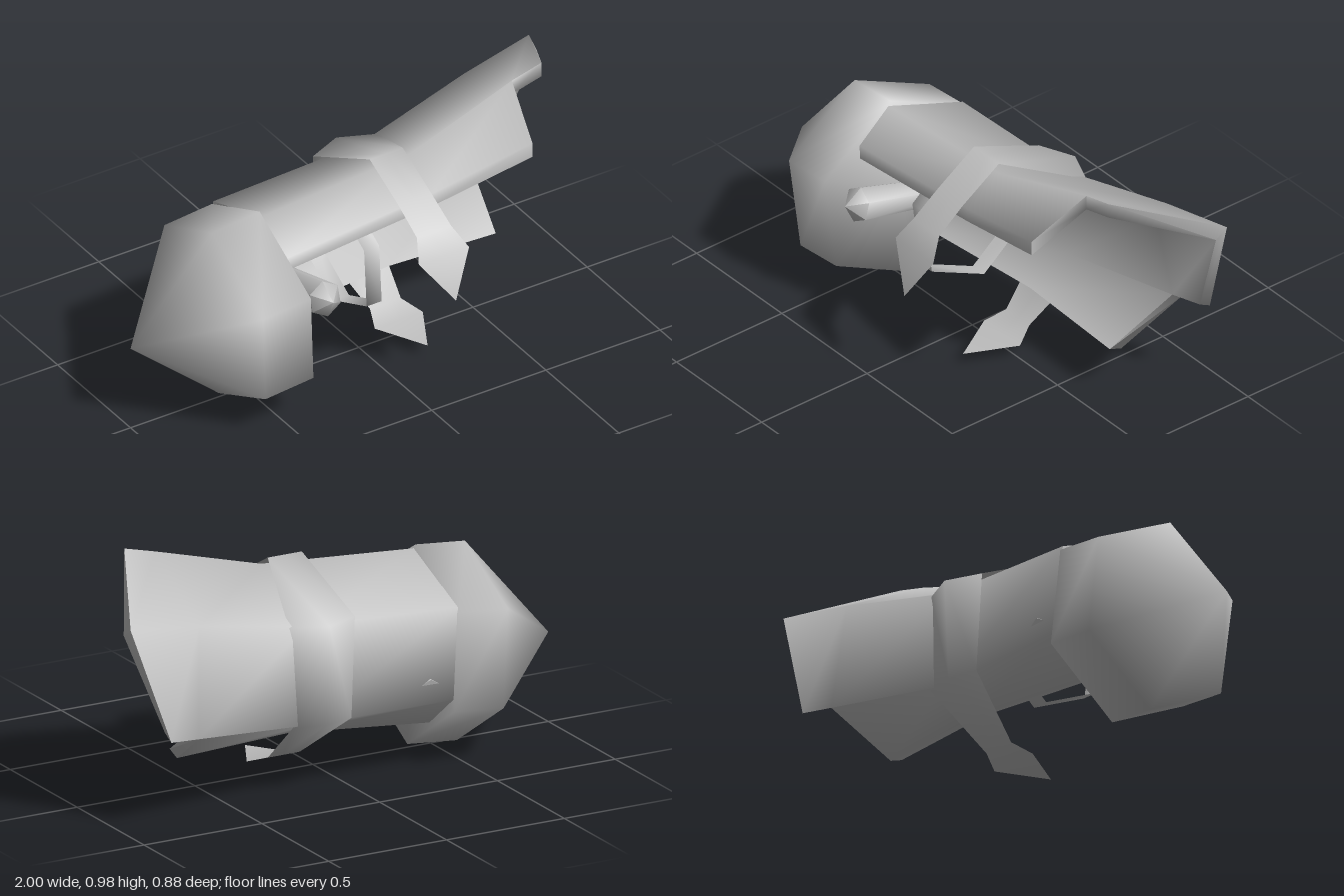
import * as THREE from 'three';
import { toCreasedNormals } from 'three/addons/utils/BufferGeometryUtils.js';

const grey = new THREE.MeshStandardMaterial({ color: 0xbfbfbf, side: THREE.DoubleSide });
grey.name = 'plain grey';

// Skin one or more grids of points, smooth over folds below the crease angle
function skin(name, grids, crease = 1.4) {
  const pos = [];
  const tri = (a, b, c) => {
    const same = (p, q) => p.every((v, i) => v === q[i]);
    if (!same(a, b) && !same(b, c) && !same(a, c)) pos.push(...a, ...b, ...c);
  };
  for (const rows of grids) {
    for (let i = 0; i < rows.length - 1; i++) {
      for (let j = 0; j < rows[i].length - 1; j++) {
        const a = rows[i][j], b = rows[i][j + 1], c = rows[i + 1][j + 1], d = rows[i + 1][j];
        tri(a, c, b);
        tri(a, d, c);
      }
    }
  }
  const geo = new THREE.BufferGeometry();
  geo.setAttribute('position', new THREE.Float32BufferAttribute(pos, 3));
  const mesh = new THREE.Mesh(toCreasedNormals(geo, crease), grey);
  mesh.name = name;
  return mesh;
}

// Grids of a thick wall: outside, inside and the two long edges
function wall(outer, inner) {
  const last = outer[0].length - 1;
  return [
    outer,
    inner.map(row => row.slice().reverse()),
    outer.map((row, i) => [inner[i][0], row[0]]),
    outer.map((row, i) => [row[last], inner[i][last]]),
  ];
}

export function createModel() {
  const model = new THREE.Group();
  model.name = 'sheath';

  // Sleeve sections run from the front edge over the top and back to the bottom edge
  const outer = [
    [[-0.45, 0.645, 0.18], [-0.45, 0.757, 0.035], [-0.44, 0.63, -0.31], [-0.42, 0.28, -0.33], [-0.41, 0.145, -0.168]],
    [[0.2, 0.71, 0.185], [0.2, 0.805, 0.035], [0.2, 0.66, -0.305], [0.2, 0.28, -0.32], [0.2, 0.205, -0.168]],
    [[0.62, 0.805, 0.22], [0.67, 0.942, 0], [0.69, 0.76, -0.365], [0.72, 0.34, -0.415], [0.67, 0.185, -0.165]],
  ];
  // Wall depth as y and z offsets for each column, thin in the sleeve and thick at the mouth
  const thin = [[-0.055, 0], [-0.02, 0], [-0.02, 0.025], [0.02, 0.025], [0.02, 0.055]];
  const thick = [[-0.06, 0], [-0.06, 0], [-0.035, 0.052], [0.025, 0.048], [0.02, 0.055]];
  const inset = (row, depth) => row.map(([x, y, z], j) => [x, y + depth[j][0], z + depth[j][1]]);
  const inner = outer.map((row, i) => inset(row, i < 2 ? thin : thick));

  // The flared lip carries on along the top and back only
  const lip = [[0.8, 0.975, 0], [1, 0.805, -0.4], [0.85, 0.355, -0.44]];
  const lipInner = inset(lip, thick.slice(1, 4));
  model.add(skin('sleeve', [
    ...wall(outer, inner),
    ...wall([outer[2].slice(1, 4), lip], [inner[2].slice(1, 4), lipInner]),
    [inner[0], outer[0]],
    [outer[2].slice(0, 2), inner[2].slice(0, 2)],
    [outer[2].slice(3), inner[2].slice(3)],
    [lip, lipInner],
  ]));

  // Pointed six-sided end cap with a closed base
  const hex = [[0.17, 0.32], [0.555, 0.35], [0.77, 0.025], [0.605, -0.32], [0.22, -0.34], [0, -0.02], [0.17, 0.32]];
  model.add(skin('endCap', [[
    hex.map(() => [-1, 0.35, 0]),
    hex.map(([y, z]) => [-0.6 - 0.078 * y, y * 0.98, z]),
    hex.map(([y, z]) => [-0.39 - 0.078 * y, y * 0.98 + 0.02, z]),
    hex.map(() => [-0.42, 0.4, 0]),
  ]], 1.7));

  // Broad strap with a pointed tab at each end: y, z, edges in x, ridge depth
  const strap = [
    [0.4, 0.44, 0.145, 0.145, 0],
    [0.57, 0.38, 0.02, 0.24, 0],
    [0.645, 0.32, 0.05, 0.2, 0],
    [0.725, 0.2, 0.045, 0.19, 0],
    [0.83, 0.02, 0.035, 0.18, 0],
    [0.67, -0.375, 0, 0.28, 0.06],
    [0.28, -0.35, 0.02, 0.27, 0.025],
    [0.09, -0.08, 0.1, 0.235, 0],
    [0.058, 0, 0.07, 0.28, 0],
    [0.05, 0.19, 0.18, 0.18, 0],
  ];
  model.add(skin('broadStrap', [strap.map(([y, z, xl, xr, ridge]) => [
    [xr, y, z + ridge], [(xl + xr) / 2, y, z], [xl, y, z + ridge],
  ])]));

  // Thin inner strap crossing the open front
  const band = [[0.73, -0.01], [0.575, 0.2], [0.31, 0.18], [0.2, -0.06], [0.35, -0.27]];
  model.add(skin('thinStrap', [band.map(([y, z]) => {
    const x = -0.02 - 0.09 * y;
    return [[x - 0.033, y, z], [x + 0.033, y, z]];
  })]));

  // Tapered rod with a blunt point, fixed to the back wall
  const profile = [[0, 0], [0.045, 0], [0.07, 0.62], [0, 0.68]].map(p => new THREE.Vector2(...p));
  const rod = new THREE.Mesh(toCreasedNormals(new THREE.LatheGeometry(profile, 6), 1.1), grey);
  rod.name = 'rod';
  rod.position.set(-0.315, 0.33, -0.318);
  rod.quaternion.setFromUnitVectors(new THREE.Vector3(0, 1, 0),
    new THREE.Vector3(-0.012, 0.155, 0.59).normalize());
  model.add(rod);

  return model;
}
